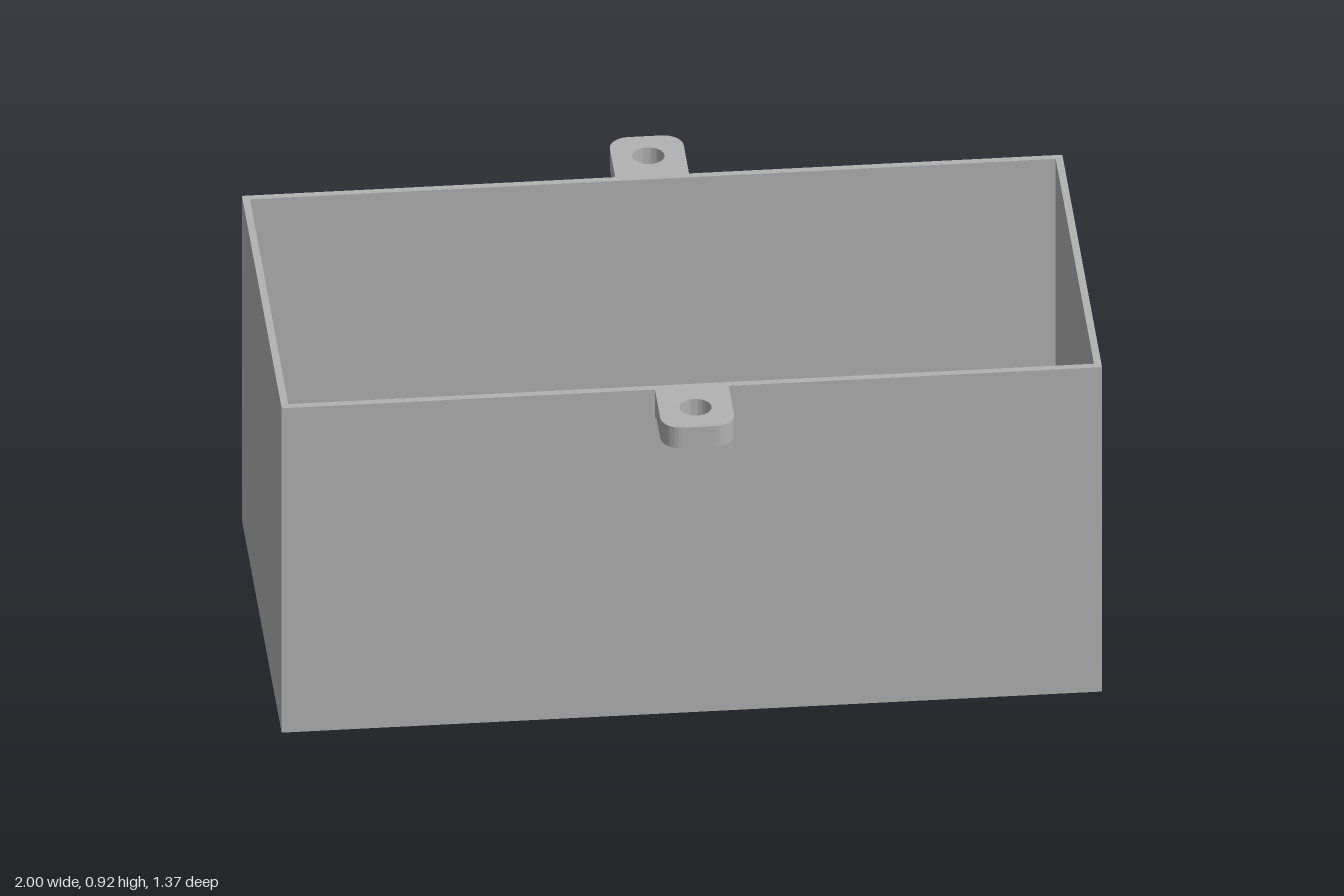
import * as THREE from 'three';
import { toCreasedNormals } from 'three/addons/utils/BufferGeometryUtils.js';

const HEIGHT = 0.92, HALF_X = 1, HALF_Z = 0.5, WALL = 0.018;

const grey = new THREE.MeshStandardMaterial({ color: 0xb2b2b2 });
grey.name = 'grey plastic';

function rectPath(x0, y0, x1, y1, Type = THREE.Path) {
  const p = new Type();
  p.moveTo(x0, y0);
  p.lineTo(x1, y0);
  p.lineTo(x1, y1);
  p.lineTo(x0, y1);
  p.closePath();
  return p;
}

function circlePath(x, y, r) {
  const p = new THREE.Path();
  p.absarc(x, y, r, 0, Math.PI * 2, true);
  return p;
}

function extrude(shape, depth) {
  return new THREE.ExtrudeGeometry(shape, { depth, bevelEnabled: false, curveSegments: 20 });
}

// Plan shape drawn in (x, z), standing from y0 to y1
function slab(shape, y0, y1) {
  return extrude(shape, y1 - y0).rotateX(Math.PI / 2).translate(0, y1, 0);
}

function part(name, geometry) {
  const mesh = new THREE.Mesh(toCreasedNormals(geometry, 0.6), grey);
  mesh.name = name;
  return mesh;
}

// Floor with four screw holes
function makeFloor() {
  const shape = rectPath(-HALF_X, -HALF_Z, HALF_X, HALF_Z, THREE.Shape);
  for (const [x, z] of [[-0.875, -0.425], [0.705, -0.425], [-0.75, 0.425], [0.69, 0.425]])
    shape.holes.push(circlePath(x, z, 0.038));
  return part('floor', slab(shape, 0, WALL));
}

// Front, back and right walls as one U-shaped run
function makePlainWalls() {
  const end = HALF_X - WALL, inZ = HALF_Z - WALL;
  const shape = new THREE.Shape([
    [end, -HALF_Z], [end, -inZ], [-end, -inZ], [-end, inZ],
    [end, inZ], [end, HALF_Z], [-HALF_X, HALF_Z], [-HALF_X, -HALF_Z],
  ].map(([x, z]) => new THREE.Vector2(x, z)));
  return part('plainWalls', slab(shape, WALL, HEIGHT));
}

// Left wall with two connector openings, drawn in (-z, y)
function makePortWall() {
  const shape = rectPath(-HALF_Z, WALL, HALF_Z, HEIGHT, THREE.Shape);
  shape.holes.push(rectPath(-0.308, 0.045, -0.157, 0.105));
  shape.holes.push(rectPath(0.245, 0.045, 0.41, 0.25));
  const geometry = extrude(shape, WALL).rotateY(Math.PI / 2).translate(HALF_X - WALL, 0, 0);
  return part('portWall', geometry);
}

// Mounting ear with rounded corners, a screw hole and a fillet beneath
function makeEar(name) {
  const w = 0.09, outer = 0.684, r = 0.05, bottom = 0.862, f = 0.03;
  const ear = new THREE.Group();
  ear.name = name;

  const plan = new THREE.Shape();
  plan.moveTo(-w, HALF_Z);
  plan.lineTo(w, HALF_Z);
  plan.lineTo(w, outer - r);
  plan.absarc(w - r, outer - r, r, 0, Math.PI / 2, false);
  plan.absarc(-w + r, outer - r, r, Math.PI / 2, Math.PI, false);
  plan.closePath();
  plan.holes.push(circlePath(0, 0.592, 0.039));
  ear.add(part('earPlate', slab(plan, bottom, HEIGHT)));

  const fillet = new THREE.Shape();
  fillet.moveTo(HALF_Z, bottom - f);
  fillet.absarc(HALF_Z + f, bottom - f, f, Math.PI, Math.PI / 2, true);
  fillet.lineTo(HALF_Z, bottom);
  fillet.closePath();
  ear.add(part('earFillet', extrude(fillet, 2 * w).rotateY(-Math.PI / 2).translate(w, 0, 0)));
  return ear;
}

export function createModel() {
  const model = new THREE.Group();
  model.name = 'enclosure';
  const backEar = makeEar('backEar');
  backEar.rotation.y = Math.PI;
  model.add(makeFloor(), makePlainWalls(), makePortWall(), makeEar('frontEar'), backEar);
  return model;
}
